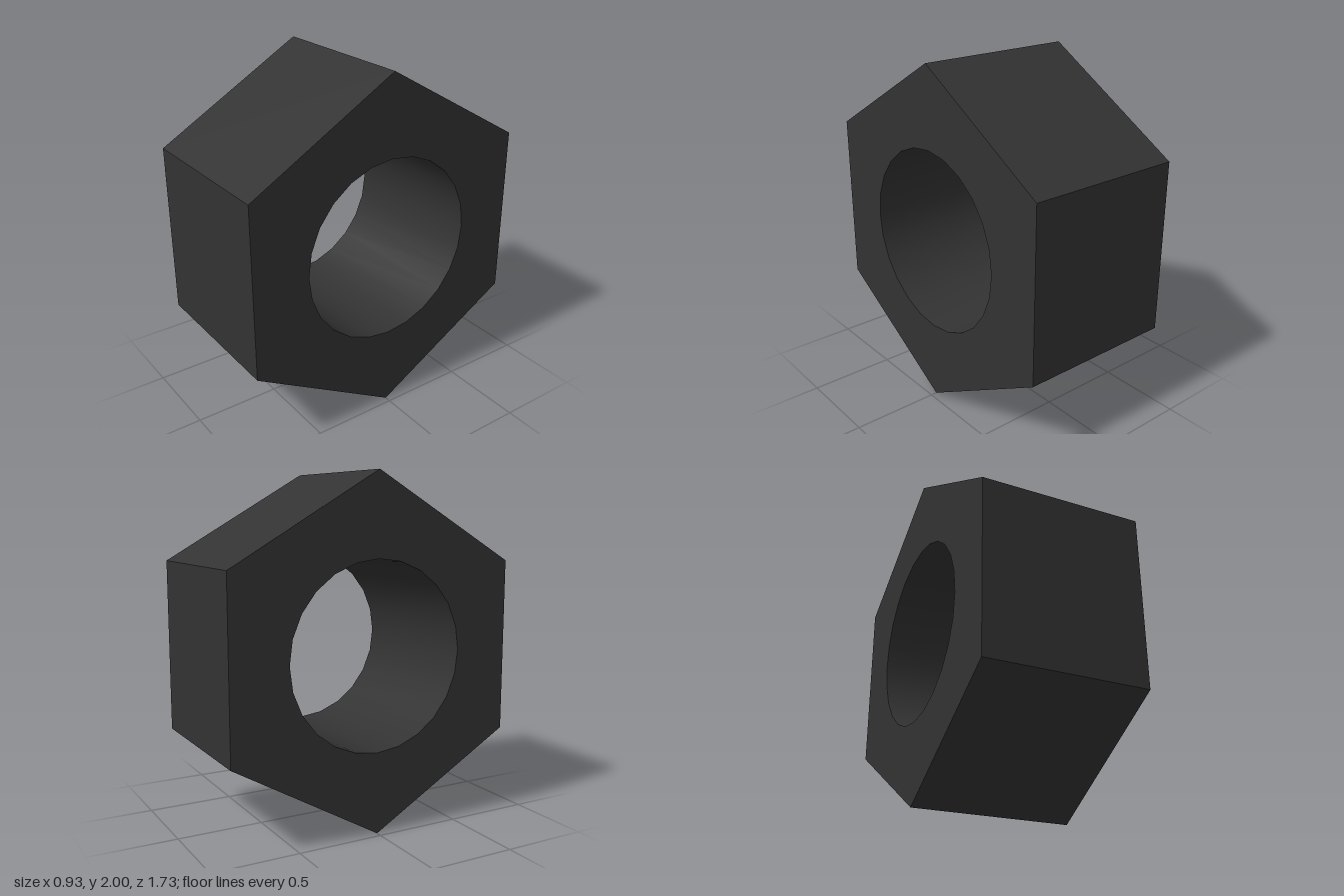
import * as THREE from 'three';
import { toCreasedNormals } from 'three/addons/utils/BufferGeometryUtils.js';

const WIDTH = 0.93;
const OUTER_RADIUS = 1;
const BORE_RADIUS = 0.533;

// Regular polygon with one corner pointing straight up
function polygon(radius, sides) {
  return Array.from({ length: sides }, (_, i) => {
    const a = Math.PI / 2 + (i / sides) * Math.PI * 2;
    return new THREE.Vector2(Math.cos(a) * radius, Math.sin(a) * radius);
  });
}

export function createModel() {
  const group = new THREE.Group();
  group.name = 'hexNut';

  // Hexagonal body with a round bore along x
  const outline = new THREE.Shape(polygon(OUTER_RADIUS, 6));
  outline.holes.push(new THREE.Path(polygon(BORE_RADIUS, 24)));
  const extruded = new THREE.ExtrudeGeometry(outline, { depth: WIDTH, bevelEnabled: false });
  extruded.translate(0, 0, -WIDTH / 2).rotateY(Math.PI / 2);

  // Crisp hexagon edges, smooth bore wall
  const geometry = toCreasedNormals(extruded, 0.5);
  const body = new THREE.Mesh(geometry, new THREE.MeshStandardMaterial({ color: 0x333333 }));
  body.name = 'nutBody';
  body.position.y = OUTER_RADIUS;
  group.add(body);

  return group;
}
